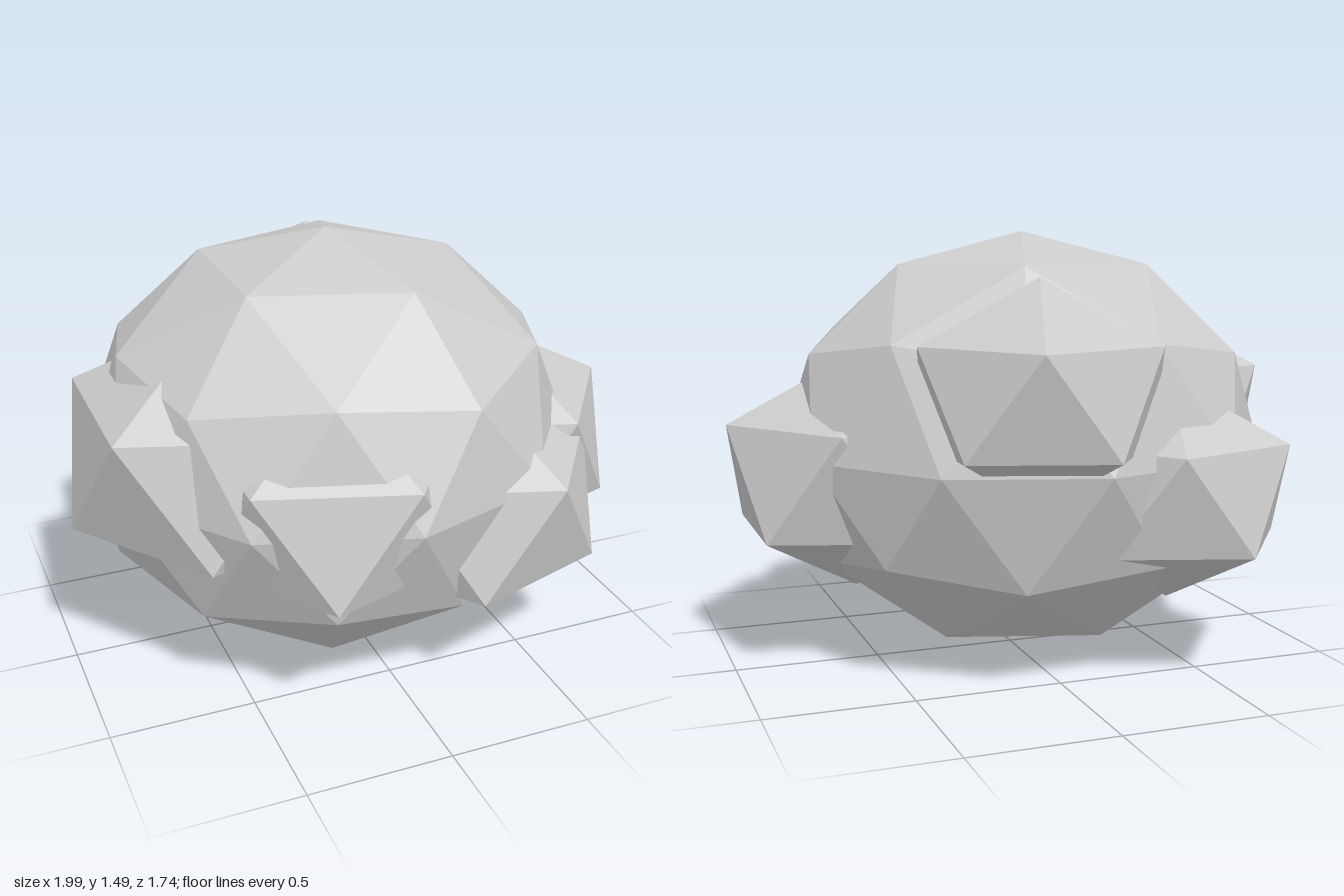
import * as THREE from 'three';

const material = new THREE.MeshStandardMaterial({ color: 0xcccccc, flatShading: true });

// Faceted ball with one corner pointing straight up, stretched to the given radii
function facetedBall(name, detail, center, radii) {
  const geometry = new THREE.IcosahedronGeometry(1, detail);
  geometry.rotateZ(-Math.atan(2 / (1 + Math.sqrt(5))));
  geometry.scale(...radii);
  geometry.computeVertexNormals(); // non-indexed, so normals stay flat
  const mesh = new THREE.Mesh(geometry, material);
  mesh.name = name;
  mesh.position.set(...center);
  return mesh;
}

export function createModel() {
  const group = new THREE.Group();
  group.name = 'boulder';

  // Large core
  group.add(facetedBall('core', 1, [-0.055, 0.745, 0.033], [0.862, 0.745, 0.832]));

  // Coarse lumps half sunk into the core: name, centre, size
  const lumps = [
    ['leftLump', [0.55, 0.655, 0.09], 0.497],
    ['frontLeftLump', [0.33, 0.595, 0.4], 0.497],
    ['frontLump', [-0.2, 0.71, 0.445], 0.497],
    ['rightLump', [-0.5, 0.795, 0.13], 0.556],
    ['upperBackLump', [0.075, 0.97, -0.49], 0.455],
    ['backRightLump', [-0.415, 0.625, -0.44], 0.455],
  ];
  for (const [name, center, size] of lumps) {
    group.add(facetedBall(name, 0, center, [size, size * 0.833, size * 0.985]));
  }
  return group;
}
